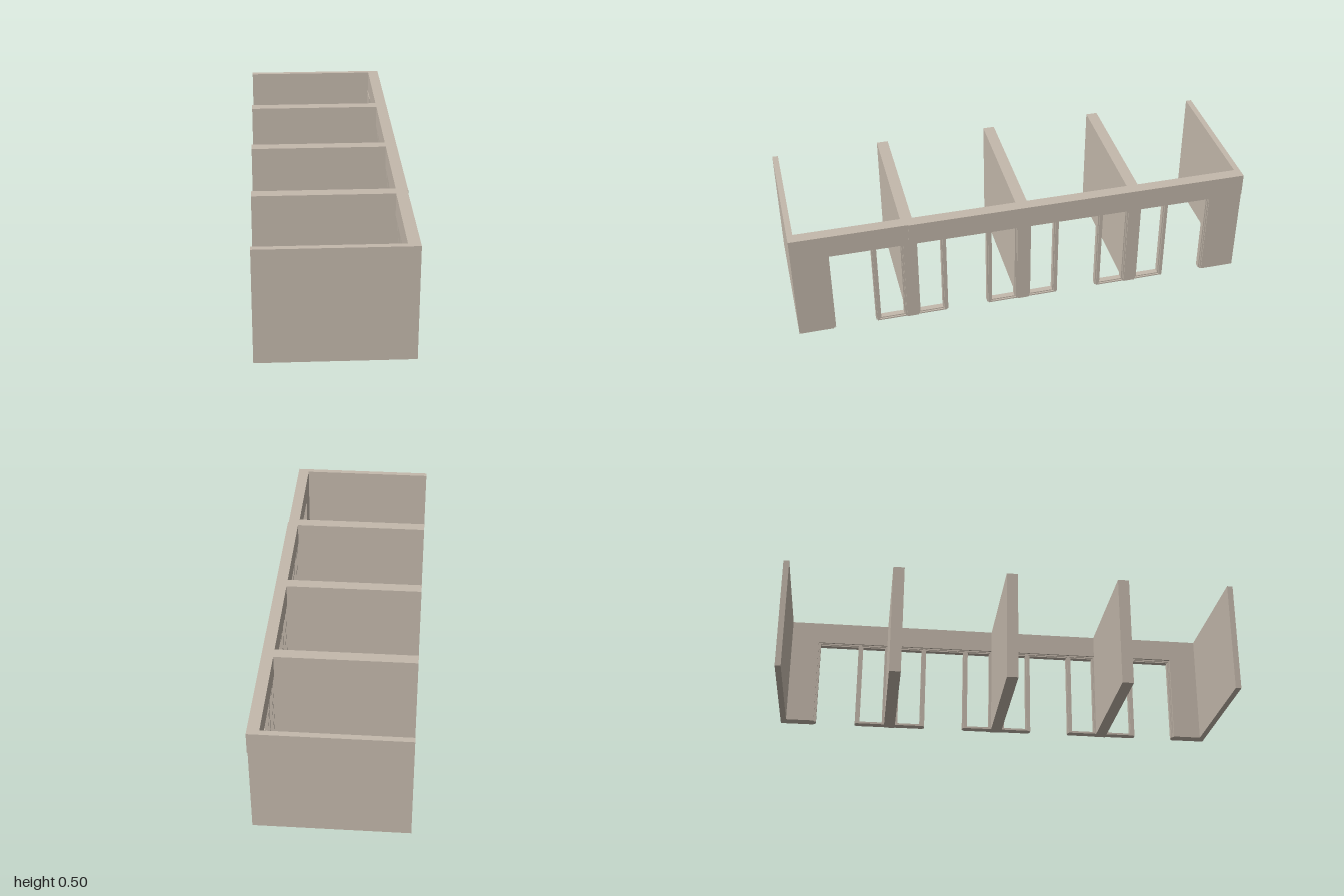
import * as THREE from 'three';

export function createModel() {
  const model = new THREE.Group();
  const wallMat = new THREE.MeshStandardMaterial({ color: 0xc4b9ac });
  wallMat.name = 'warm plaster';

  // box given by its limits on each axis
  const block = (name, [x0, x1], [y0, y1], [z0, z1], parent = model) => {
    const m = new THREE.Mesh(new THREE.BoxGeometry(x1 - x0, y1 - y0, z1 - z0), wallMat);
    m.position.set((x0 + x1) / 2, (y0 + y1) / 2, (z0 + z1) / 2);
    m.name = name;
    parent.add(m);
  };

  const H = 0.5, HEAD = 0.4;
  const facade = [0.275, 0.325], endFacade = [0.272, 0.322];

  // partition walls running back from the facade
  for (const [z0, z1] of [[-1, -0.975], [-0.525, -0.475], [-0.025, 0.025], [0.475, 0.525], [0.975, 1]])
    block('partitionWall', [-0.325, 0.275], [0, H], [z0, z1]);

  // facade: beam over the openings, end walls and piers
  block('lintel', facade, [HEAD, H], [-1, 0.5]);
  block('endLintel', endFacade, [HEAD, H], [0.5, 1]);
  block('endWall', [0.272, 0.322], [0, HEAD], [-1, -0.85]);
  block('endWall', endFacade, [0, HEAD], [0.85, 1]);
  for (const z of [-0.5, 0, 0.5]) block('pier', [0.275, 0.322], [0, HEAD], [z - 0.025, z + 0.025]);

  // stepped frame lining an opening; windows also get a bottom rail
  const addFrame = (name, z0, z1, hasSill) => {
    const g = new THREE.Group();
    g.name = name;
    model.add(g);
    for (const [d, t0, t1] of [[[0.282, 0.318], 0, 0.006], [[0.287, 0.312], 0.006, 0.011]]) {
      block('jamb', d, [0, HEAD - t0], [z0 + t0, z0 + t1], g);
      block('jamb', d, [0, HEAD - t0], [z1 - t1, z1 - t0], g);
      block('headRail', d, [HEAD - t1, HEAD - t0], [z0 + t1, z1 - t1], g);
      if (hasSill) block('bottomRail', d, [t0, t1], [z0 + t1, z1 - t1], g);
    }
  };

  // mirrored rhythm of doors and side windows
  for (const s of [-1, 1]) {
    const span = (a, b) => [Math.min(s * a, s * b), Math.max(s * a, s * b)];
    for (const [a, b] of [[0.65, 0.85], [0.15, 0.35]]) addFrame('doorFrame', ...span(a, b), false);
    for (const [a, b] of [[0.525, 0.65], [0.35, 0.475], [0.025, 0.15]]) addFrame('windowFrame', ...span(a, b), true);
  }
  return model;
}
